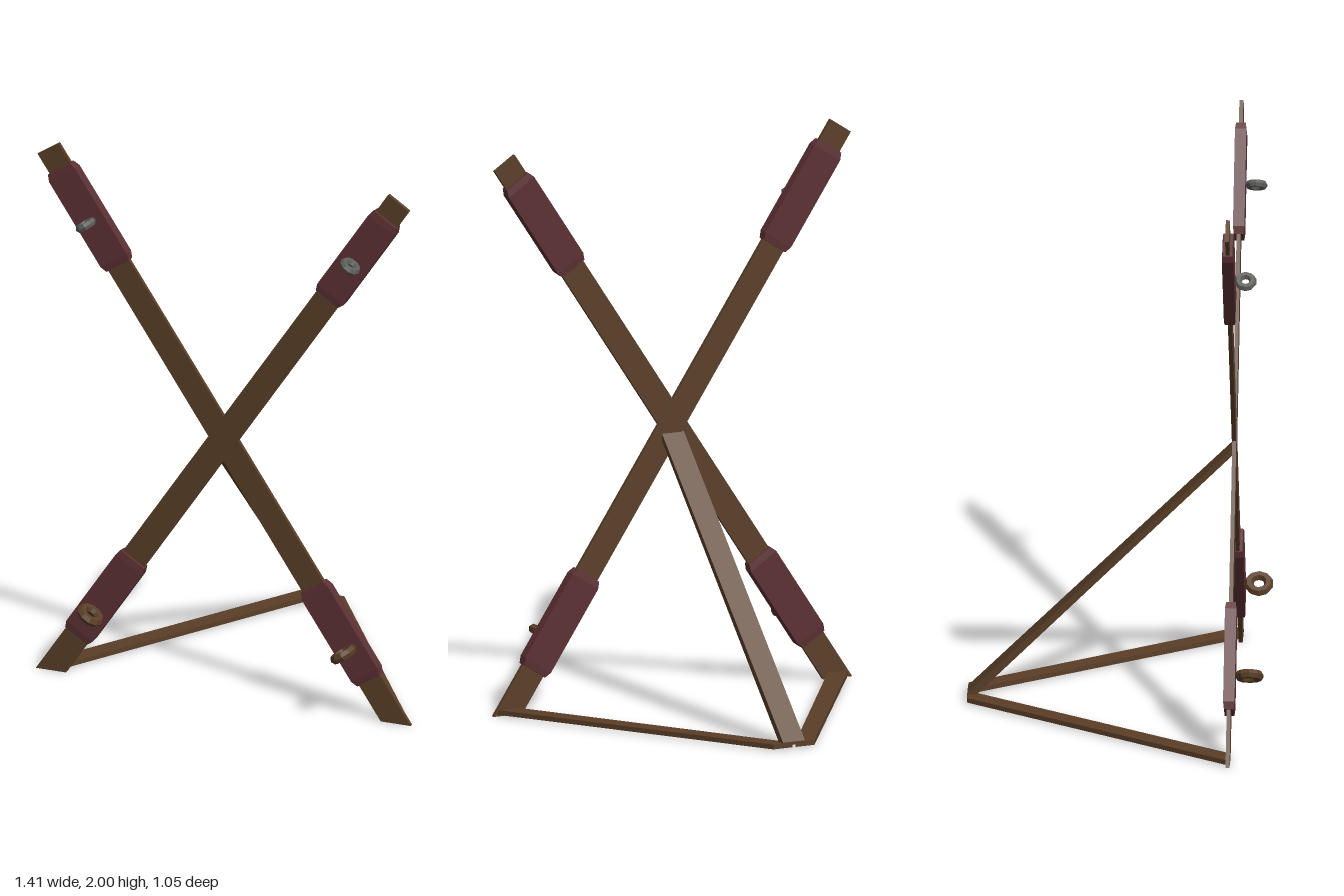
import * as THREE from 'three';

const wood = new THREE.MeshStandardMaterial({ color: 0x5a3e27 });
wood.name = 'brown wood';
const leather = new THREE.MeshStandardMaterial({ color: 0x5c3033 });
leather.name = 'dark red leather';
const iron = new THREE.MeshStandardMaterial({ color: 0x5e5e5c });
iron.name = 'grey iron';

// Faceted mesh with one normal per face
function part(name, geometry, material) {
  const g = geometry.index ? geometry.toNonIndexed() : geometry;
  g.computeVertexNormals();
  const mesh = new THREE.Mesh(g, material);
  mesh.name = name;
  return mesh;
}

// Board cut from a flat outline, extruded along z
function board(points, depth) {
  const shape = new THREE.Shape(points.map(([x, y]) => new THREE.Vector2(x, y)));
  return new THREE.ExtrudeGeometry(shape, { depth, bevelEnabled: false });
}

// Padded wrap with narrowed ends
function cuffGeometry(length) {
  const g = new THREE.BoxGeometry(0.118, 1, 0.04, 1, 3, 1);
  const p = g.attributes.position;
  for (let i = 0; i < p.count; i++) {
    const y = p.getY(i);
    const end = Math.abs(y) > 0.4;
    const k = end ? 0.84 : 1;
    p.setXYZ(i, p.getX(i) * k, Math.sign(y) * (length / 2 - (end ? 0 : 0.025)), p.getZ(i) * k);
  }
  return g;
}

function ringGeometry(radius, tube) {
  return new THREE.TorusGeometry(radius, tube, 6, 10).rotateX(Math.PI / 2);
}

export function createModel() {
  const model = new THREE.Group();
  model.name = 'crossFrame';
  const tilt = 0.584, half = 0.047, length = 2.367;

  for (const s of [1, -1]) {
    const side = s > 0 ? 'right' : 'left';

    // Crossing beam, its foot cut level with the ground
    const arm = new THREE.Group();
    arm.name = side + 'FootBeamAssembly';
    arm.position.set(-0.647 * s, 0, 0.407 + 0.0008 * s);
    arm.rotation.z = -s * tilt;
    const cut = s * half * Math.tan(tilt);
    const beam = part('beam', board([[-half, -cut], [half, cut], [half, length], [-half, length]], 0.014), wood);
    beam.position.z = -0.007;
    arm.add(beam);

    // Wraps and rings near both ends
    const fittings = [
      ['lower', 0.372, 0.385, 0.312, 0.068, 0.035, 0.017, wood],
      ['upper', 2.086, 0.4, 2.074, 0.057, 0.026, 0.014, iron],
    ];
    for (const [name, cuffY, cuffLength, ringY, ringZ, radius, tube, ringMaterial] of fittings) {
      const cuff = part(name + 'Cuff', cuffGeometry(cuffLength), leather);
      cuff.position.y = cuffY;
      const ring = part(name + 'Ring', ringGeometry(radius, tube), ringMaterial);
      ring.position.set(0, ringY, ringZ);
      arm.add(cuff, ring);
    }
    model.add(arm);

    // Ground rail running back to the apex
    const outline = [[-0.69, -0.405], [-0.61, -0.405], [-0.005, 0.525], [-0.08, 0.525]];
    const points = outline.map(([x, y]) => [x * s, y]);
    const rail = part(side + 'GroundRail', board(points, 0.017).rotateX(-Math.PI / 2), wood);
    rail.position.y = 0.006;
    model.add(rail);
  }

  // Sloping brace from the crossing down to the apex
  const profile = [[-0.405, 0.95], [-0.405, 0.925], [0.5, 0.015], [0.525, 0.015], [0.525, 0.026]];
  const brace = part('rearBrace', board(profile, 0.086).translate(0, 0, -0.043).rotateY(Math.PI / 2), wood);
  model.add(brace);

  return model;
}
